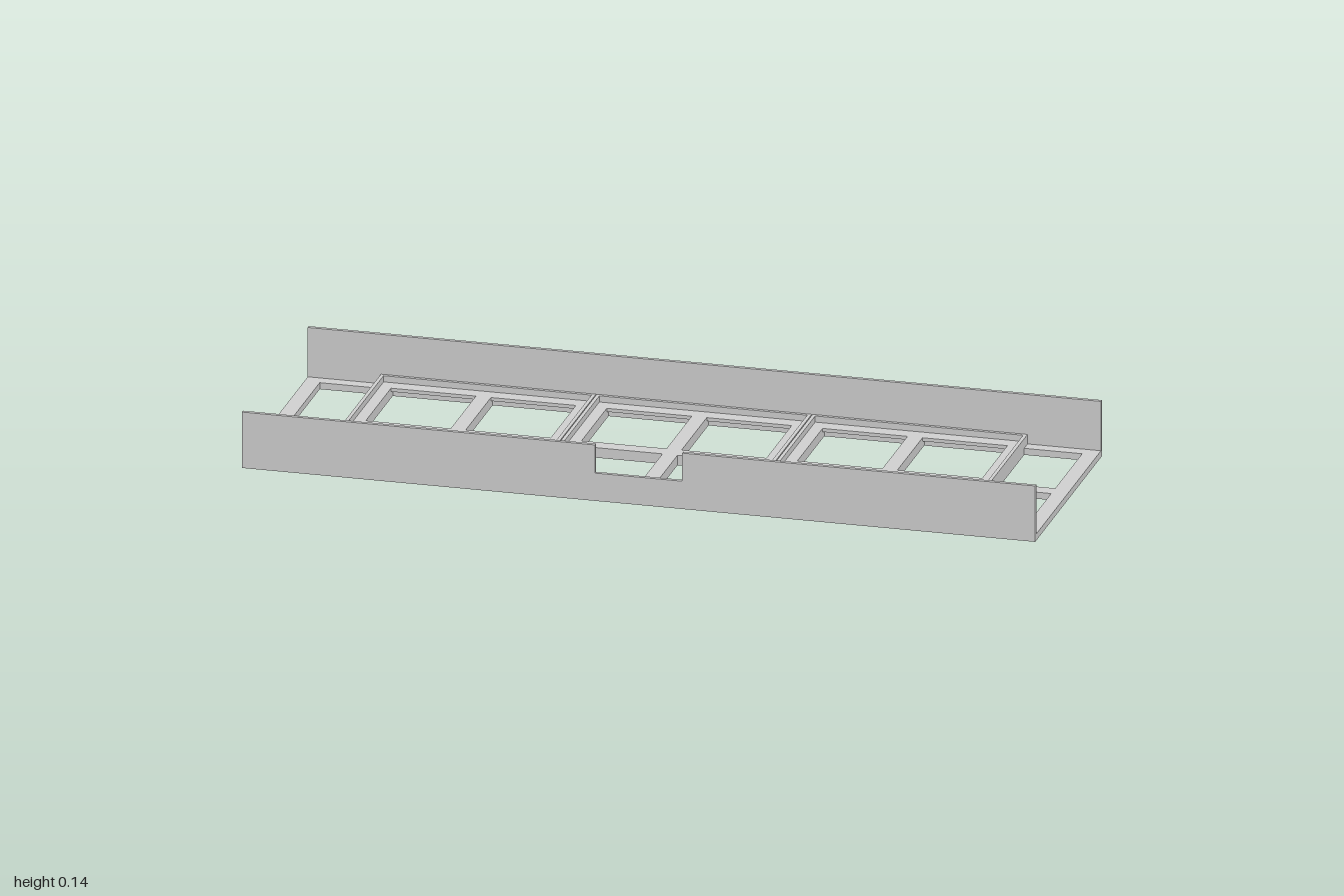
import * as THREE from 'three';

const grey = new THREE.MeshStandardMaterial({ color: 0xd4d4d4 });
grey.name = 'plain grey';

const HALF_DEPTH = 0.313, WALL = 0.01, BASE = 0.017, BAR = 0.019;
const TRAY = 0.544, TRAY_Z = 0.302, TRAY_TOP = 0.042;

// Counter-clockwise rectangle
function rect(target, x0, x1, y0, y1) {
  target.moveTo(x0, y0);
  target.lineTo(x1, y0);
  target.lineTo(x1, y1);
  target.lineTo(x0, y1);
  target.closePath();
  return target;
}

// Flat plate lying in xz, with rectangular openings given as x ranges and z ranges
function grid(name, hx, hz, xs, zs, y, thickness) {
  const shape = rect(new THREE.Shape(), -hx, hx, -hz, hz);
  for (const [a, b] of xs)
    for (const [c, d] of zs) shape.holes.push(rect(new THREE.Path(), a, b, c, d));
  const geo = new THREE.ExtrudeGeometry(shape, { depth: thickness, bevelEnabled: false });
  geo.rotateX(-Math.PI / 2);
  const mesh = new THREE.Mesh(geo, grey);
  mesh.name = name;
  mesh.position.y = y;
  return mesh;
}

// Upright side wall, optionally with a notch in the top edge
function sideWall(name, z, notched) {
  const s = new THREE.Shape();
  s.moveTo(-1, 0);
  s.lineTo(1, 0);
  s.lineTo(1, 0.145);
  if (notched) {
    s.lineTo(0.11, 0.145);
    s.lineTo(0.11, 0.072);
    s.lineTo(-0.11, 0.072);
    s.lineTo(-0.11, 0.145);
  }
  s.lineTo(-1, 0.145);
  s.closePath();
  const mesh = new THREE.Mesh(new THREE.ExtrudeGeometry(s, { depth: WALL, bevelEnabled: false }), grey);
  mesh.name = name;
  mesh.position.z = z;
  return mesh;
}

export function createModel() {
  const model = new THREE.Group();
  model.name = 'trayHolder';

  // Base frame: crossbars under every tray edge and tray middle
  const zs = [[-0.271, -BAR], [BAR, 0.271]];
  const xs = [[-0.961, -0.815], [0.815, 0.961]];
  for (const i of [-1, 0, 1])
    xs.push([i * TRAY - 0.233, i * TRAY - BAR], [i * TRAY + BAR, i * TRAY + 0.233]);
  model.add(grid('baseFrame', 1, HALF_DEPTH - WALL, xs, zs, 0, BASE));

  // Side walls
  model.add(sideWall('frontWall', HALF_DEPTH - WALL, true));
  model.add(sideWall('backWall', -HALF_DEPTH, false));

  // Three shallow trays: open floor and a thin raised rim
  const hx = TRAY / 2 - 0.001, rim = 0.009, floor = 0.009;
  for (const i of [-1, 0, 1]) {
    const tray = new THREE.Group();
    tray.name = 'tray' + (i + 2);
    tray.position.x = i * TRAY;
    tray.add(grid('trayFloor', hx, TRAY_Z, [[-0.233, -BAR], [BAR, 0.233]],
      [[-0.255, -BAR], [BAR, 0.255]], BASE, floor));
    tray.add(grid('trayRim', hx, TRAY_Z, [[-hx + rim, hx - rim]],
      [[-TRAY_Z + rim, TRAY_Z - rim]], BASE + floor, TRAY_TOP - BASE - floor));
    model.add(tray);
  }
  return model;
}
